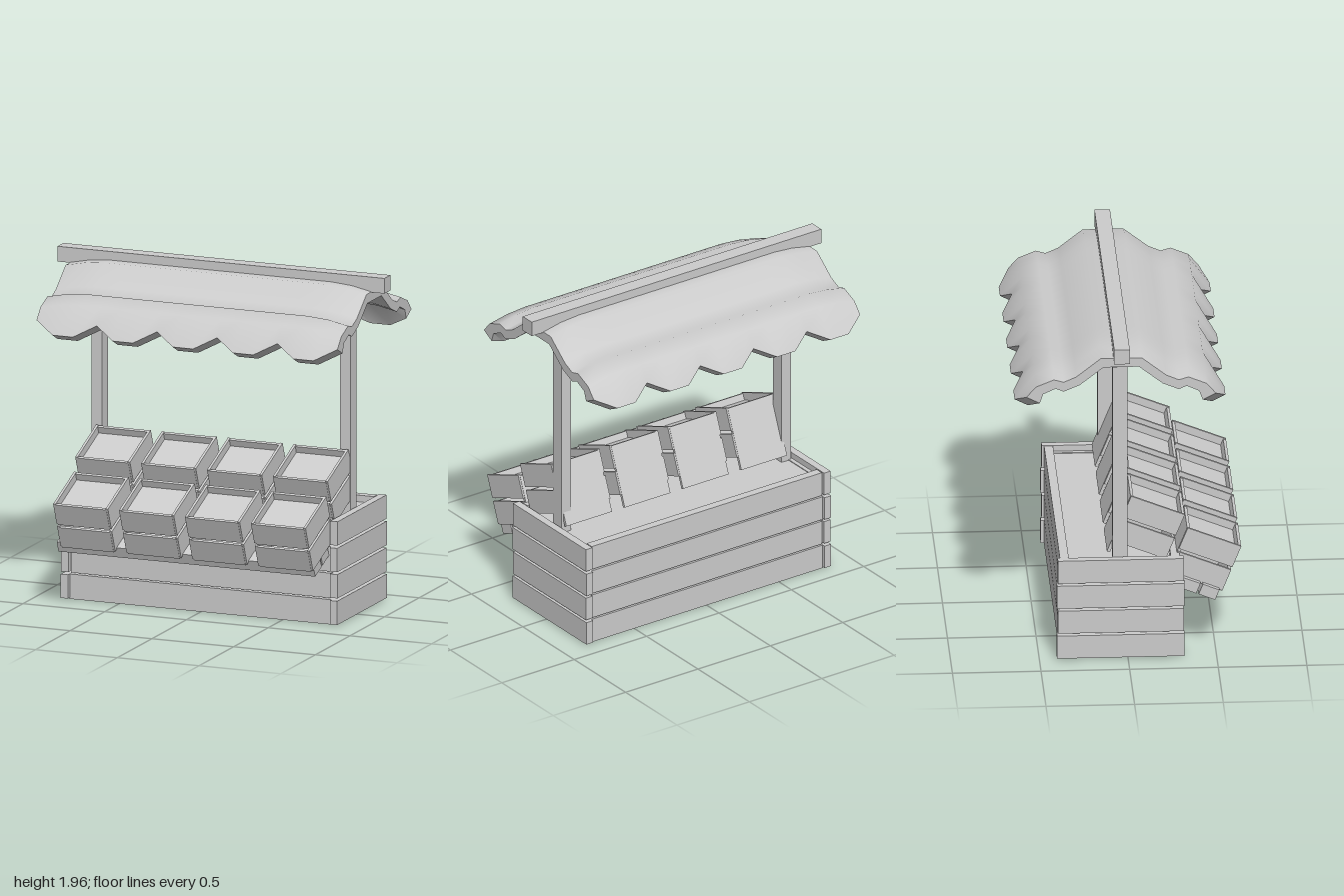
import * as THREE from 'three';
import { toCreasedNormals } from 'three/addons/utils/BufferGeometryUtils.js';

const material = new THREE.MeshStandardMaterial({ color: 0xcccccc });
const canopyMaterial = new THREE.MeshStandardMaterial({ color: 0xcccccc, side: THREE.DoubleSide });

// Box given by its size and centre
function box(parent, name, [w, h, d], [x, y, z]) {
  const mesh = new THREE.Mesh(new THREE.BoxGeometry(w, h, d), material);
  mesh.name = name;
  mesh.position.set(x, y, z);
  parent.add(mesh);
  return mesh;
}

// Cloth canopy: a folded cross-section swept along x, with scalloped hems and drooping ends
function canopyGeometry() {
  // [distance from the ridge, height], ridge to hem
  const outer = [[0.115, 1.91], [0.255, 1.8], [0.325, 1.77], [0.38, 1.786], [0.48, 1.745], [0.595, 1.585]];
  const inner = [[0.1, 1.856], [0.235, 1.75], [0.325, 1.713], [0.37, 1.732], [0.44, 1.70], [0.52, 1.547]];
  const centreZ = -0.043, pitch = 0.368, half = 0.92;

  // Columns at every notch between scallops and on both sides of each scallop tip
  const columns = [];
  for (let i = 0; i < 5; i++) {
    const x = -half + i * pitch;
    columns.push([x, 1], [x + 0.122, 0], [x + 0.246, 0]);
  }
  columns.push([half, 1]);

  const sweep = (profile, [x, notch]) => {
    const droop = 0.035 * Math.max(0, (Math.abs(x) - 0.75) / (half - 0.75));
    const side = (sign) => profile.map(([d, y], i) => {
      const hem = i === profile.length - 1;
      return [x, hem ? y + 0.063 * notch : y - droop, centreZ + sign * (hem ? d - 0.06 * notch : d)];
    });
    return [...side(1).reverse(), ...side(-1)];
  };
  const top = columns.map((c) => sweep(outer, c));
  const under = columns.map((c) => sweep(inner, c));

  const positions = [];
  const quad = (a, b, c, d) => positions.push(...a, ...b, ...c, ...a, ...c, ...d);
  const last = columns.length - 1, rows = top[0].length - 1;
  for (let i = 0; i < last; i++) {
    for (let j = 0; j < rows; j++) {
      quad(top[i][j], top[i + 1][j], top[i + 1][j + 1], top[i][j + 1]);
      quad(under[i][j], under[i][j + 1], under[i + 1][j + 1], under[i + 1][j]);
    }
    // Hem edges
    quad(under[i][0], under[i + 1][0], top[i + 1][0], top[i][0]);
    quad(top[i][rows], top[i + 1][rows], under[i + 1][rows], under[i][rows]);
  }
  // End edges
  for (let j = 0; j < rows; j++) {
    quad(top[last][j], under[last][j], under[last][j + 1], top[last][j + 1]);
    quad(top[0][j], top[0][j + 1], under[0][j + 1], under[0][j]);
  }
  const geometry = new THREE.BufferGeometry();
  geometry.setAttribute('position', new THREE.Float32BufferAttribute(positions, 3));
  return toCreasedNormals(geometry, 0.75);
}

// Slatted crate with its opening centred on the local origin
function createCrate(backDepth) {
  const crate = new THREE.Group();
  crate.name = 'crate';
  const width = 0.335, length = 0.325;
  for (const y of [-0.068, -0.222]) {
    for (const s of [-1, 1]) {
      box(crate, 'crateSideSlat', [0.015, 0.135, length], [s * (width / 2 - 0.0075), y, 0]);
    }
    box(crate, 'crateFrontSlat', [width - 0.02, 0.135, 0.018], [0, y - 0.005, length / 2 - 0.007]);
  }
  box(crate, 'crateBackBoard', [width - 0.02, backDepth, 0.018], [0, -0.005 - backDepth / 2, -length / 2 + 0.007]);
  box(crate, 'crateFilling', [width - 0.03, 0.02, length - 0.03], [0, -0.055, 0]);
  box(crate, 'crateFloor', [width - 0.03, 0.015, length - 0.03], [0, -0.28, 0]);
  return crate;
}

export function createModel() {
  const stall = new THREE.Group();
  stall.name = 'marketStall';
  const tilt = 0.38;

  // Counter: four tiers of slats on every side, open underneath
  const counter = new THREE.Group();
  counter.name = 'counter';
  stall.add(counter);
  for (let i = 0; i < 4; i++) {
    const y = 0.073 + i * 0.153;
    const w = i % 2 ? 1.59 : 1.605;
    box(counter, 'frontSlat', [w, 0.144, 0.05], [0, y, 0.268]);
    box(counter, 'backSlat', [w, 0.144, 0.05], [0, y, -0.357]);
    for (const s of [-1, 1]) {
      box(counter, 'endSlat', [0.045, 0.138, i % 2 ? 0.71 : 0.72], [s * 0.823, y + 0.004, -0.041]);
    }
  }
  for (const s of [-1, 1]) {
    box(counter, 'endLining', [0.025, 0.57, 0.58], [s * 0.788, 0.285, -0.05]);
  }
  box(counter, 'counterTop', [1.58, 0.025, 0.6], [0, 0.553, -0.045]);

  // Tilted shelf boards under the front row of crates
  [[0.46, 0.37], [0.353, 0.412]].forEach(([z, y]) => {
    box(stall, 'shelfBoard', [1.57, 0.065, 0.1], [0, y, z]).rotation.x = tilt;
  });

  // Two rows of four crates
  [[0.693, 0.493, 0.285], [0.895, 0.174, 0.36]].forEach(([y, z, backDepth]) => {
    for (let i = 0; i < 4; i++) {
      const crate = createCrate(backDepth);
      crate.position.set(-0.587 + i * 0.403, y, z);
      crate.rotation.x = tilt;
      stall.add(crate);
    }
  });

  // Posts, ridge beam and canopy
  for (const s of [-1, 1]) {
    box(stall, 'post', [0.065, 1.21, 0.083], [s * 0.76, 1.16, -0.043]);
  }
  box(stall, 'ridgeBeam', [2, 0.088, 0.088], [0, 1.916, -0.043]);
  const canopy = new THREE.Mesh(canopyGeometry(), canopyMaterial);
  canopy.name = 'canopy';
  stall.add(canopy);

  return stall;
}
